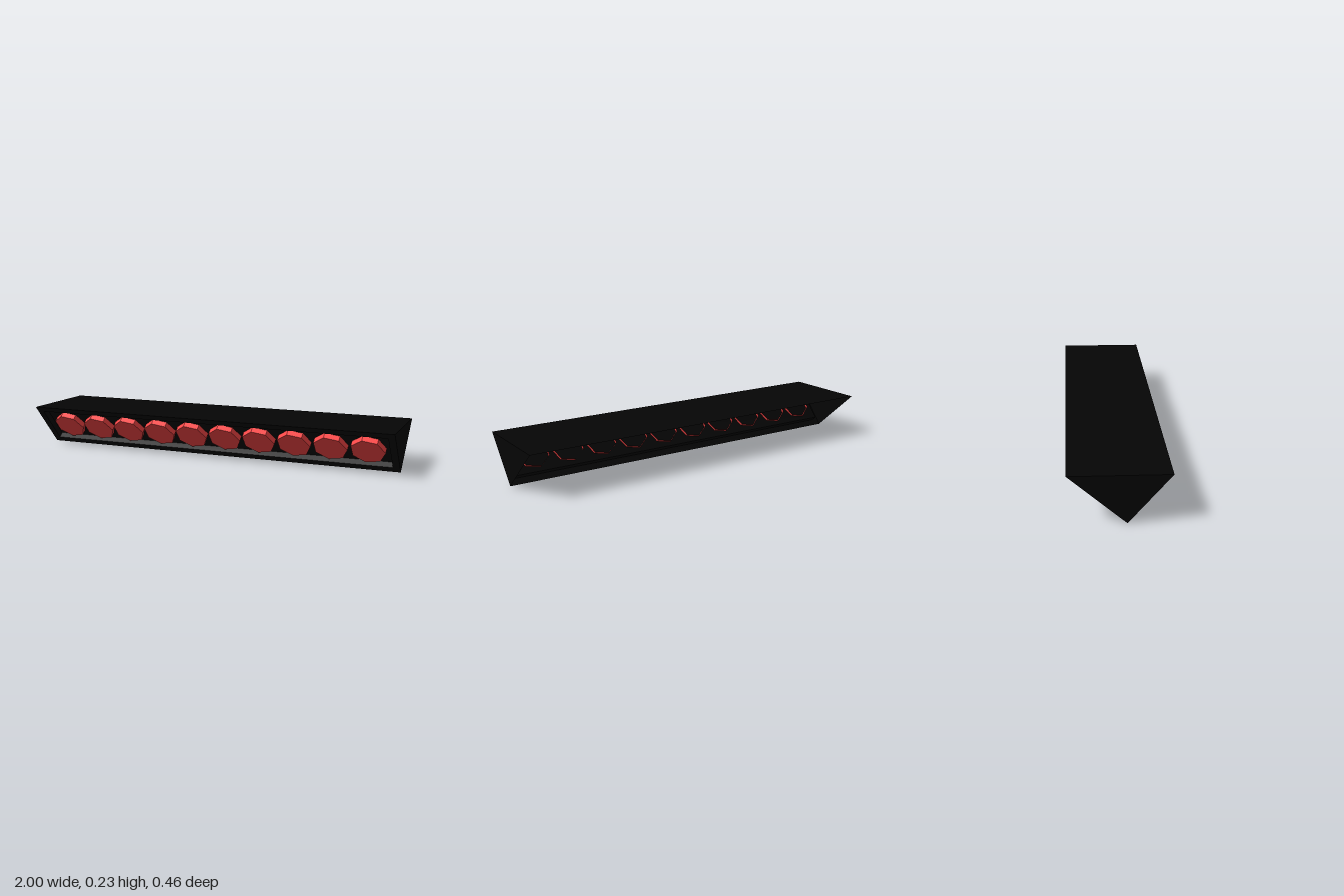
import * as THREE from 'three';

// Cross-section corners of the triangular housing, as [y, z]
const APEX = [0, 0.033];
const FRONT = [0.227, 0.23];
const BACK = [0.227, -0.23];

// Sloping front: tilt, height along the slope, frame margin and recess depth
const TILT = Math.atan2(FRONT[1] - APEX[1], FRONT[0]);
const SLOPE = Math.hypot(FRONT[1] - APEX[1], FRONT[0]);
const MARGIN = 0.035;
const DEPTH = 0.033;

const black = new THREE.MeshStandardMaterial({ color: 0x050505, side: THREE.DoubleSide });
const red = new THREE.MeshStandardMaterial({ color: 0xff4848, flatShading: true, side: THREE.DoubleSide });

function part(name, geometry, material) {
  const mesh = new THREE.Mesh(geometry, material);
  mesh.name = name;
  return mesh;
}

// Flat polygon fanned from its first corner
function panel(name, corners) {
  const geo = new THREE.BufferGeometry();
  geo.setAttribute('position', new THREE.Float32BufferAttribute(corners.flat(), 3));
  const index = [];
  for (let i = 1; i < corners.length - 1; i++) index.push(0, i, i + 1);
  geo.setIndex(index);
  geo.computeVertexNormals();
  return part(name, geo, black);
}

// Seven-sided lamp cup, its face towards +z and its back open
function createLamp() {
  const radius = 0.088, depth = 0.045, sides = 7;
  const lamp = new THREE.Group();
  const rim = new THREE.CylinderGeometry(radius, radius, depth, sides, 1, true, Math.PI / 2);
  rim.rotateX(Math.PI / 2).translate(0, 0, -depth / 2);
  lamp.add(part('lampFace', new THREE.CircleGeometry(radius, sides), red), part('lampRim', rim, red));
  return lamp;
}

// Front frame with a shallow recess; x along the bar, y up the slope, z outward
function createFront() {
  const front = new THREE.Group();
  front.name = 'front';
  const x = 1 - MARGIN, lo = MARGIN, hi = SLOPE - MARGIN;
  const opening = [[-x, lo], [x, lo], [x, hi], [-x, hi]];
  const outline = [[-1, 0], [1, 0], [1, SLOPE], [-1, SLOPE]];
  const toPoints = (list) => list.map((p) => new THREE.Vector2(...p));

  const frame = new THREE.Shape(toPoints(outline));
  frame.holes.push(new THREE.Path(toPoints(opening)));
  front.add(part('frame', new THREE.ShapeGeometry(frame), black));

  opening.forEach((a, i) => {
    const b = opening[(i + 1) % 4];
    front.add(panel('recessWall', [[...b, 0], [...a, 0], [...a, -DEPTH], [...b, -DEPTH]]));
  });
  front.add(panel('lampBoard', opening.map((p) => [...p, -DEPTH])));

  // Row of lamps set through the board
  const count = 10, spacing = 0.189;
  for (let i = 0; i < count; i++) {
    const lamp = createLamp();
    lamp.name = `lamp${i + 1}`;
    lamp.position.set(0.002 + (i - (count - 1) / 2) * spacing, 0.143, -0.002);
    front.add(lamp);
  }

  front.rotation.x = TILT;
  front.position.set(0, ...APEX);
  return front;
}

export function createModel() {
  const model = new THREE.Group();
  model.name = 'lampBar';

  // Top and triangular ends; the rear slope is open
  model.add(panel('top', [[-1, ...FRONT], [1, ...FRONT], [1, ...BACK], [-1, ...BACK]]));
  model.add(panel('leftEnd', [APEX, BACK, FRONT].map((p) => [1, ...p])));
  model.add(panel('rightEnd', [APEX, FRONT, BACK].map((p) => [-1, ...p])));
  model.add(createFront());
  return model;
}
